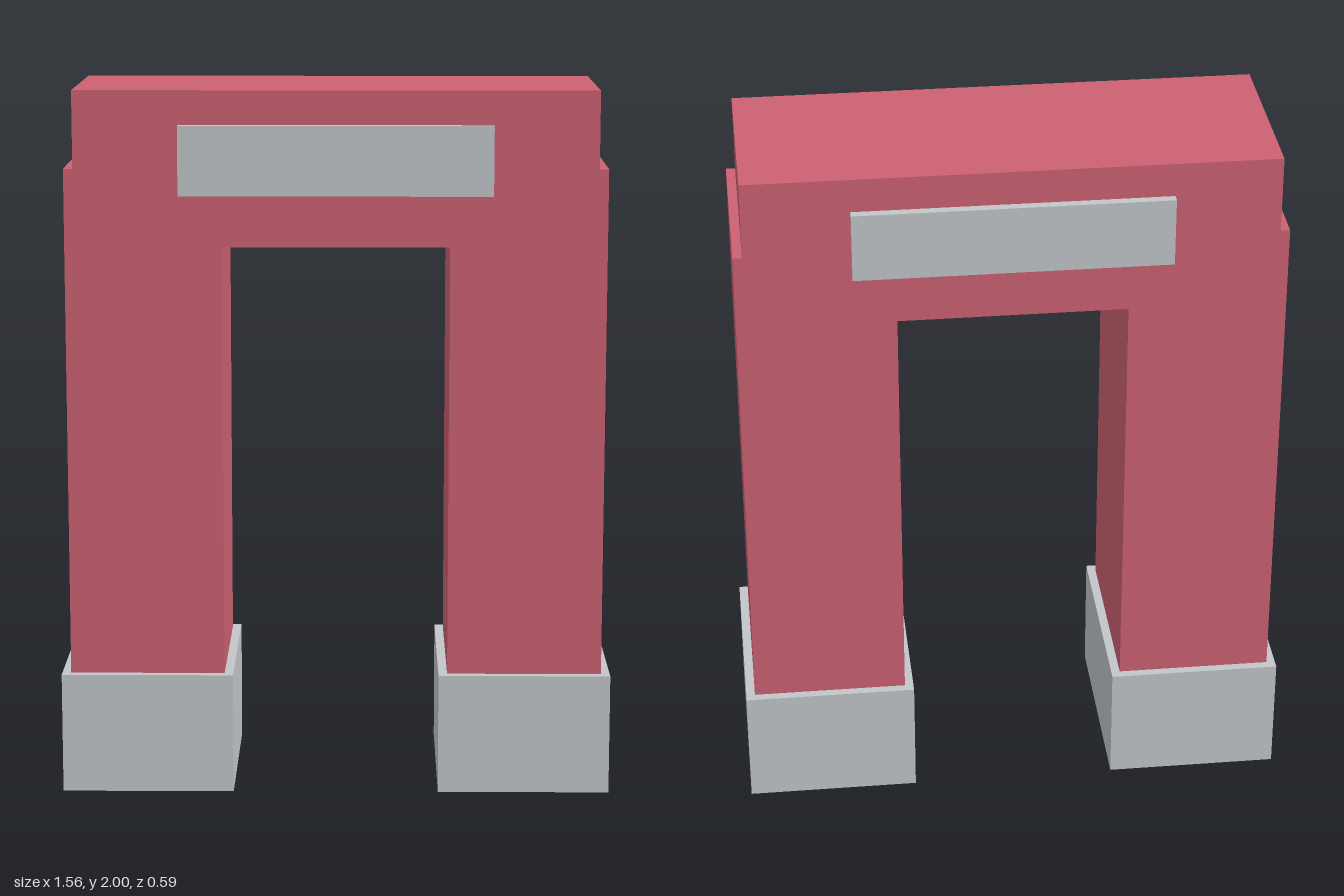
import * as THREE from 'three';

export function createModel() {
  const group = new THREE.Group();
  group.name = 'archway';
  const red = new THREE.MeshStandardMaterial({ color: 0xcb6172 });
  red.name = 'rose red';
  const grey = new THREE.MeshStandardMaterial({ color: 0xc2c6c9 });
  grey.name = 'light grey';

  const bodyDepth = 0.536;
  const baseHeight = 0.343;

  // Body: two legs and a slightly narrower lintel, as one stepped outline
  const half = [[0.317, 1.565], [0.317, baseHeight], [0.755, baseHeight],
    [0.755, 1.783], [0.729, 1.783], [0.729, 2]];
  const outline = [...half, ...half.map(([x, y]) => [-x, y]).reverse()];
  const shape = new THREE.Shape(outline.map(([x, y]) => new THREE.Vector2(x, y)));
  const bodyGeometry = new THREE.ExtrudeGeometry(shape, { depth: bodyDepth, bevelEnabled: false });
  bodyGeometry.translate(0, 0, -bodyDepth / 2);
  const body = new THREE.Mesh(bodyGeometry, red);
  body.name = 'archBody';
  group.add(body);

  function addBox(name, size, position) {
    const mesh = new THREE.Mesh(new THREE.BoxGeometry(...size), grey);
    mesh.name = name;
    mesh.position.set(...position);
    group.add(mesh);
  }

  // Plinth under each leg
  for (const [side, s] of [['left', 1], ['right', -1]]) {
    addBox(`${side}Plinth`, [0.488, baseHeight, 0.586], [s * 0.536, baseHeight / 2, 0]);
  }

  // Blank sign panel on each face of the lintel
  for (const [side, s] of [['front', 1], ['back', -1]]) {
    addBox(`${side}Panel`, [0.874, 0.195, 0.025], [0, 1.807, s * (bodyDepth / 2 + 0.0125)]);
  }

  return group;
}
